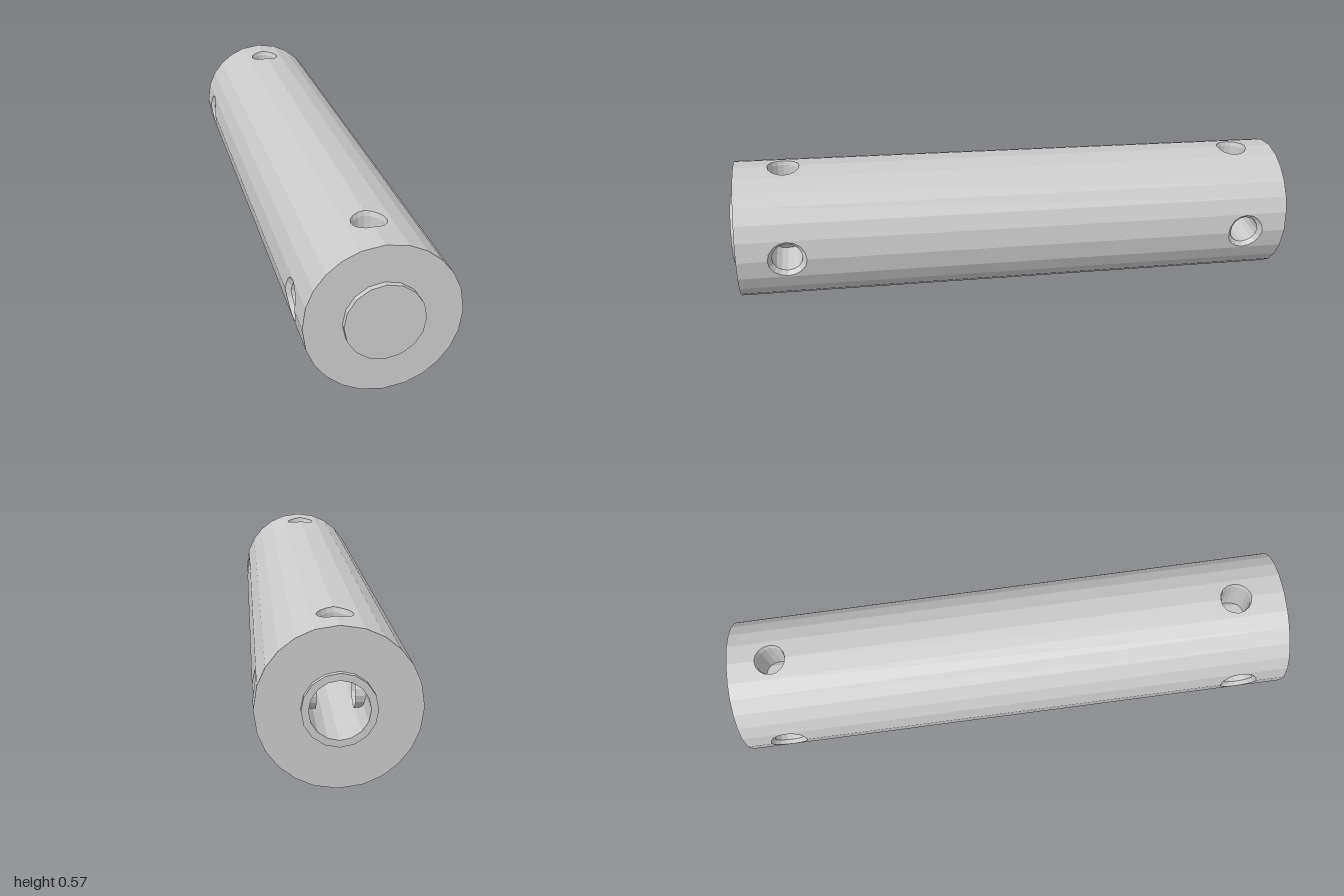
import * as THREE from 'three';

const R = 0.236, HALF = 0.977, TILT = 0.0485;
const EDGE = THREE.MathUtils.degToRad(17); // facet beside each cardinal line
const W = R * Math.sin(EDGE);              // half width of a hole patch
const HOLE_Z = [-0.825, 0.81];

const material = new THREE.MeshStandardMaterial({
  color: 0xcccccc, flatShading: true, side: THREE.DoubleSide,
});

// Facet corners round the barrel, repeated for each quarter
const angles = [];
for (let q = 0; q < 4; q++) {
  for (const d of [0, 17, 31, 45, 59, 73]) angles.push(THREE.MathUtils.degToRad(d + q * 90));
}

function quad(out, a, b, c, d) {
  for (const p of [a, b, c, a, c, d]) out.push(p.x, p.y, p.z);
}

function toGeometry(positions) {
  const g = new THREE.BufferGeometry();
  g.setAttribute('position', new THREE.Float32BufferAttribute(positions, 3));
  g.computeVertexNormals();
  return g;
}

// Barrel wall in facets, leaving square gaps around the holes
function wallGeometry() {
  const out = [];
  const at = (a, z) => new THREE.Vector3(R * Math.cos(a), R * Math.sin(a), z);
  angles.forEach((a, i) => {
    const b = angles[(i + 1) % angles.length];
    const quarter = Math.round((i + 0.5) / 6) % 4;
    const besideHole = (i % 6 === 0 || i % 6 === 5) && quarter !== 3;
    const stops = besideHole
      ? [-HALF, HOLE_Z[0] - W, HOLE_Z[0] + W, HOLE_Z[1] - W, HOLE_Z[1] + W, HALF]
      : [-HALF, HALF];
    for (let s = 0; s < stops.length; s += 2) {
      quad(out, at(a, stops[s]), at(b, stops[s]), at(b, stops[s + 1]), at(a, stops[s + 1]));
    }
  });
  return toGeometry(out);
}

// Square patch of wall with a round, countersunk hole sunk to the bore
function holeGeometry(angle, z, rimRadius, radius) {
  const n = new THREE.Vector3(Math.cos(angle), Math.sin(angle), 0);
  const t = new THREE.Vector3(-Math.sin(angle), Math.cos(angle), 0);
  const surface = (u) => R - Math.abs(u) * Math.tan(EDGE / 2);
  const N = 16, rings = [[], [], [], []];
  const place = (u, v, h) =>
    new THREE.Vector3(0, 0, z + v).addScaledVector(n, h).addScaledVector(t, u);
  for (let k = 0; k < N; k++) {
    const c = Math.cos((k / N) * Math.PI * 2), s = Math.sin((k / N) * Math.PI * 2);
    const f = W / Math.max(Math.abs(c), Math.abs(s));
    rings[0].push(place(c * f, s * f, surface(c * f)));
    rings[1].push(place(c * rimRadius, s * rimRadius, surface(c * rimRadius)));
    rings[2].push(place(c * radius, s * radius, surface(c * radius) - 0.015));
    rings[3].push(place(c * radius, s * radius, 0.055));
  }
  const out = [];
  for (let r = 0; r < 3; r++) {
    for (let k = 0; k < N; k++) {
      const m = (k + 1) % N;
      quad(out, rings[r][k], rings[r][m], rings[r + 1][m], rings[r + 1][k]);
    }
  }
  return toGeometry(out);
}

// Flat end of the barrel, optionally pierced
function endGeometry(holeRadius) {
  const shape = new THREE.Shape(
    angles.map((a) => new THREE.Vector2(R * Math.cos(a), R * Math.sin(a))));
  if (holeRadius) shape.holes.push(new THREE.Path().absarc(0, 0, holeRadius, 0, Math.PI * 2, true));
  return new THREE.ShapeGeometry(shape, 8);
}

export function createModel() {
  const model = new THREE.Group();
  model.name = 'drilledRoller';
  const add = (name, geometry) => {
    const mesh = new THREE.Mesh(geometry, material);
    mesh.name = name;
    model.add(mesh);
    return mesh;
  };

  add('barrelWall', wallGeometry());
  add('frontFace', endGeometry(0)).position.z = HALF;
  const back = add('backFace', endGeometry(0.097));
  back.rotation.y = Math.PI;
  back.position.z = -HALF;

  // Two holes along the top and along each side
  for (const z of HOLE_Z) {
    add('leftHole', holeGeometry(0, z, 0.065, 0.051));
    add('topHole', holeGeometry(Math.PI / 2, z, 0.054, 0.05));
    add('rightHole', holeGeometry(Math.PI, z, 0.065, 0.051));
  }

  // Solid boss on the front
  const boss = new THREE.CylinderGeometry(0.121, 0.121, 0.036, 16).rotateX(Math.PI / 2);
  add('frontBoss', boss).position.z = HALF;

  // Bore lining with a raised collar at the back
  const profile = [[0.107, -HALF], [0.107, -0.994], [0.086, -0.994], [0.086, 0.95], [0, 0.95]]
    .map(([r, y]) => new THREE.Vector2(r, y));
  add('boreSleeve', new THREE.LatheGeometry(profile, 16).rotateX(Math.PI / 2));

  // The front end sits slightly higher than the back
  model.rotation.x = -TILT;
  model.position.y = 0.283;
  const root = new THREE.Group();
  root.name = 'roller';
  root.add(model);
  return root;
}
